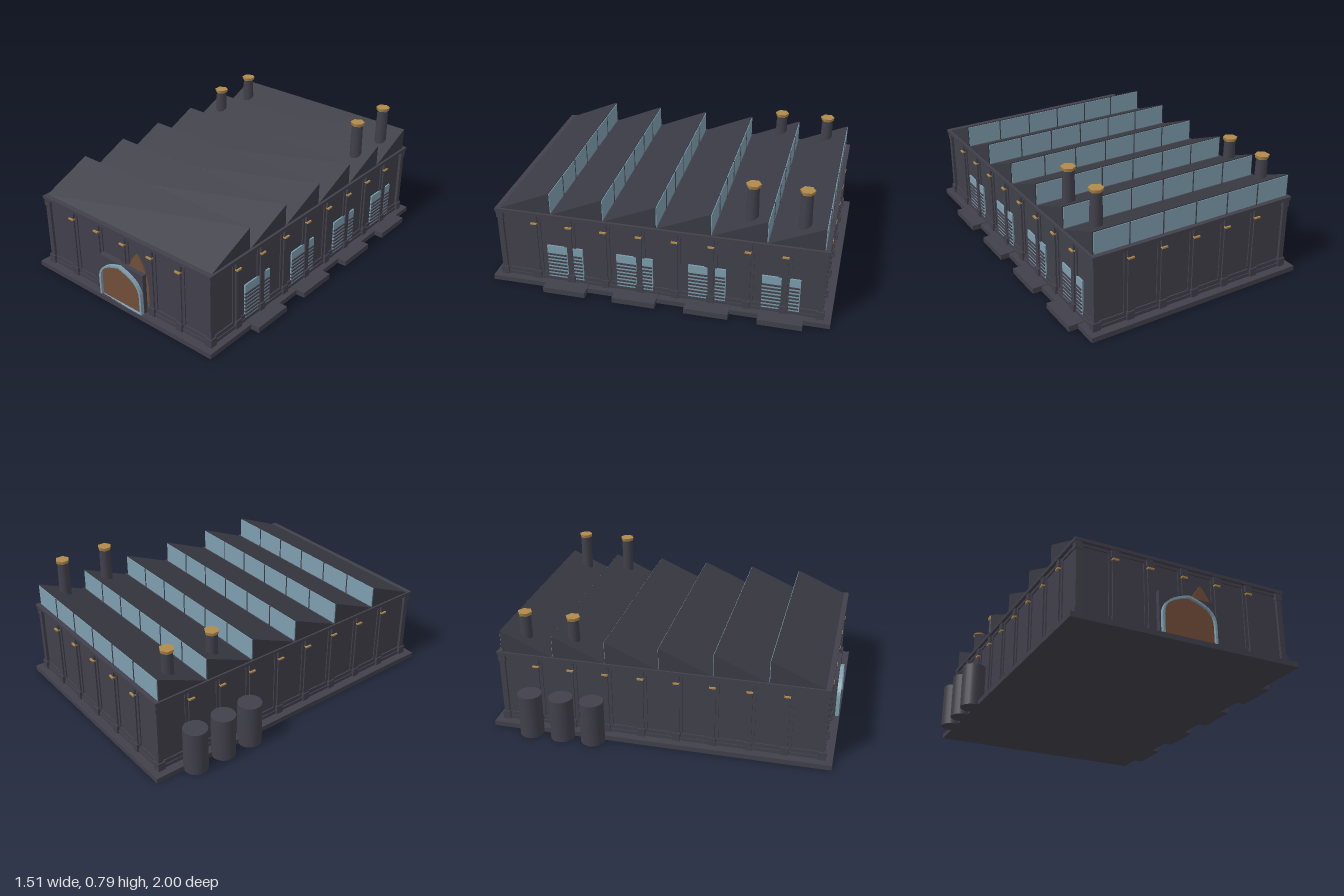
import * as THREE from 'three';

const mat = (name, color) => {
  const m = new THREE.MeshStandardMaterial({ color });
  m.name = name;
  return m;
};

export function createModel() {
  const wall = mat('charcoal wall', 0x41404b);
  const roof = mat('dark roof', 0x3a3a44);
  const glass = mat('blue glass', 0x7d9eae);
  const brass = mat('brass', 0xb08a4a);
  const wood = mat('brown door', 0x714d3a);
  const model = new THREE.Group();
  model.name = 'factory';

  const add = (name, geo, m, parent = model) => {
    const mesh = new THREE.Mesh(geo, m);
    mesh.name = name;
    parent.add(mesh);
    return mesh;
  };
  // box given by its limits
  const box = (name, m, x0, x1, y0, y1, z0, z1, parent) => {
    const g = new THREE.BoxGeometry(x1 - x0, y1 - y0, z1 - z0);
    g.translate((x0 + x1) / 2, (y0 + y1) / 2, (z0 + z1) / 2);
    return add(name, g, m, parent);
  };
  const extrude = (shape, depth) =>
    new THREE.ExtrudeGeometry(shape, { depth, bevelEnabled: false, curveSegments: 8 });

  // ground slab, core, plinth and cornice
  const CX = 0.02, HX = 0.625, HZ = 0.937, PITCH = 0.2083;
  box('slab', wall, -0.67, 0.70, 0, 0.03, -1, 1);
  box('core', wall, CX - HX, CX + HX, 0.03, 0.47, -HZ, HZ);
  box('plinth', wall, CX - HX - 0.014, CX + HX + 0.014, 0.03, 0.05, -HZ - 0.014, HZ + 0.014);
  box('cornice', wall, CX - HX - 0.026, CX + HX + 0.026, 0.463, 0.482, -HZ - 0.026, HZ + 0.026);

  // one wall of pilasters, built facing +z
  const facade = (name, bays, x, z, turn) => {
    const g = new THREE.Group();
    g.name = name;
    const half = bays * PITCH / 2;
    box('topRail', wall, -half, half, 0.445, 0.465, 0, 0.008, g);
    box('bottomRail', wall, -half, half, 0.05, 0.075, 0, 0.008, g);
    for (let i = 0; i <= bays; i++) {
      const u = -half + i * PITCH;
      const end = i === 0 || i === bays;
      const w = end ? 0.014 : 0.035;
      box('panelBorder', wall, u - w, u + w, 0.05, 0.465, 0, 0.007, g);
      box('pilaster', wall, u - 0.016, u + 0.016, 0.05, 0.465, 0, 0.016, g);
      box('pilasterFoot', wall, u - 0.022, u + 0.022, 0.03, 0.08, 0, 0.024, g);
      box('capital', wall, u - 0.021, u + 0.021, 0.42, 0.465, 0, 0.02, g);
      if (!end) box('brassBand', brass, u - 0.018, u + 0.018, 0.405, 0.414, 0, 0.026, g);
    }
    g.position.set(x, 0, z);
    g.rotation.y = turn;
    model.add(g);
  };
  facade('frontWall', 6, CX, HZ, 0);
  facade('backWall', 6, CX, -HZ, Math.PI);
  facade('leftWall', 9, CX + HX, 0, Math.PI / 2);
  facade('rightWall', 9, CX - HX, 0, -Math.PI / 2);

  // sawtooth roof with a glazed face at the back of every tooth
  const X0 = -0.62, X1 = 0.656, RUN = 0.3125;
  for (let i = 0; i < 6; i++) {
    const z0 = 0.937 - i * RUN, z1 = z0 - RUN + 0.004;
    const s = new THREE.Shape();
    s.moveTo(-z0, 0.48);
    s.lineTo(-z1, 0.48);
    s.lineTo(-z1, 0.615);
    s.closePath();
    const g = extrude(s, X1 - X0);
    g.rotateY(Math.PI / 2);
    g.translate(X0, 0, 0);
    add('roofTooth', g, roof);
    box('roofGlass', glass, X0 + 0.006, X1 - 0.006, 0.484, 0.61, z1 - 0.004, z1);
    for (let k = -2; k <= 2; k++) {
      const x = CX + k * PITCH;
      box('mullion', wall, x - 0.003, x + 0.003, 0.482, 0.612, z1 - 0.007, z1);
    }
  }

  // chimneys with faceted brass caps
  for (const [x, z, top] of [[0.56, -0.52, 0.785], [0.56, -0.81, 0.785],
    [-0.525, -0.52, 0.71], [-0.525, -0.81, 0.71]]) {
    const g = new THREE.Group();
    g.name = 'chimney';
    const h = top - 0.015 - 0.48;
    const stack = new THREE.CylinderGeometry(0.033, 0.037, h, 12);
    stack.translate(0, 0.48 + h / 2, 0);
    add('stack', stack, wall, g);
    const cap = new THREE.CylinderGeometry(0.043, 0.038, 0.02, 6);
    cap.translate(0, top - 0.01, 0);
    add('cap', cap.toNonIndexed(), brass, g);
    g.position.set(x, 0, z);
    model.add(g);
  }

  // storage tanks
  for (const z of [-0.755, -0.565, -0.38]) {
    const g = new THREE.CylinderGeometry(0.07, 0.07, 0.265, 20);
    g.translate(-0.685, 0.1325, z);
    add('tank', g, wall);
  }

  // loading bays: platform and slatted windows either side of a pilaster
  const wx = CX + HX;
  for (const c of [0.54, 0.12, -0.305, -0.725]) {
    box('platform', wall, 0.66, 0.755, 0, 0.034, c - 0.127, c + 0.127);
    for (const [a, b] of [[c + 0.0, c + 0.122], [c - 0.094, c - 0.032]]) {
      box('window', glass, wx, wx + 0.009, 0.05, 0.265, a, b);
      for (let k = 0; k < 7; k++) {
        const y = 0.063 + k * 0.0235;
        box('slat', wall, wx, wx + 0.015, y, y + 0.009, a + 0.004, b);
      }
    }
  }

  // arched gate: outline inset by d from the outer edge
  const arch = (d) => {
    const s = new THREE.Shape(), w = 0.166 - d, t = 0.282 - d;
    s.moveTo(-w, 0.03);
    s.lineTo(w, 0.03);
    s.lineTo(w, 0.14);
    s.bezierCurveTo(w, 0.22, w * 0.6, t - 0.025, 0, t);
    s.bezierCurveTo(-w * 0.6, t - 0.025, -w, 0.22, -w, 0.14);
    s.closePath();
    return s;
  };
  box('gateBlock', wall, CX - 0.174, CX + 0.168, 0.03, 0.283, HZ, 0.973);
  const frame = arch(0);
  frame.holes.push(arch(0.013));
  const fg = extrude(frame, 0.025);
  fg.translate(CX, 0, 0.97);
  add('gateFrame', fg, glass);
  const dg = extrude(arch(0.012), 0.008);
  dg.translate(CX, 0, 0.972);
  add('gateDoor', dg, wood);

  // pointed side door set behind the gate
  const p = new THREE.Shape();
  p.moveTo(-0.085, 0.05);
  p.lineTo(0.085, 0.05);
  p.lineTo(0.085, 0.2);
  p.quadraticCurveTo(0.075, 0.3, 0, 0.385);
  p.quadraticCurveTo(-0.075, 0.3, -0.085, 0.2);
  p.closePath();
  const pg = extrude(p, 0.009);
  pg.translate(0.122, 0, HZ + 0.001);
  add('pointedDoor', pg, wood);

  return model;
}
